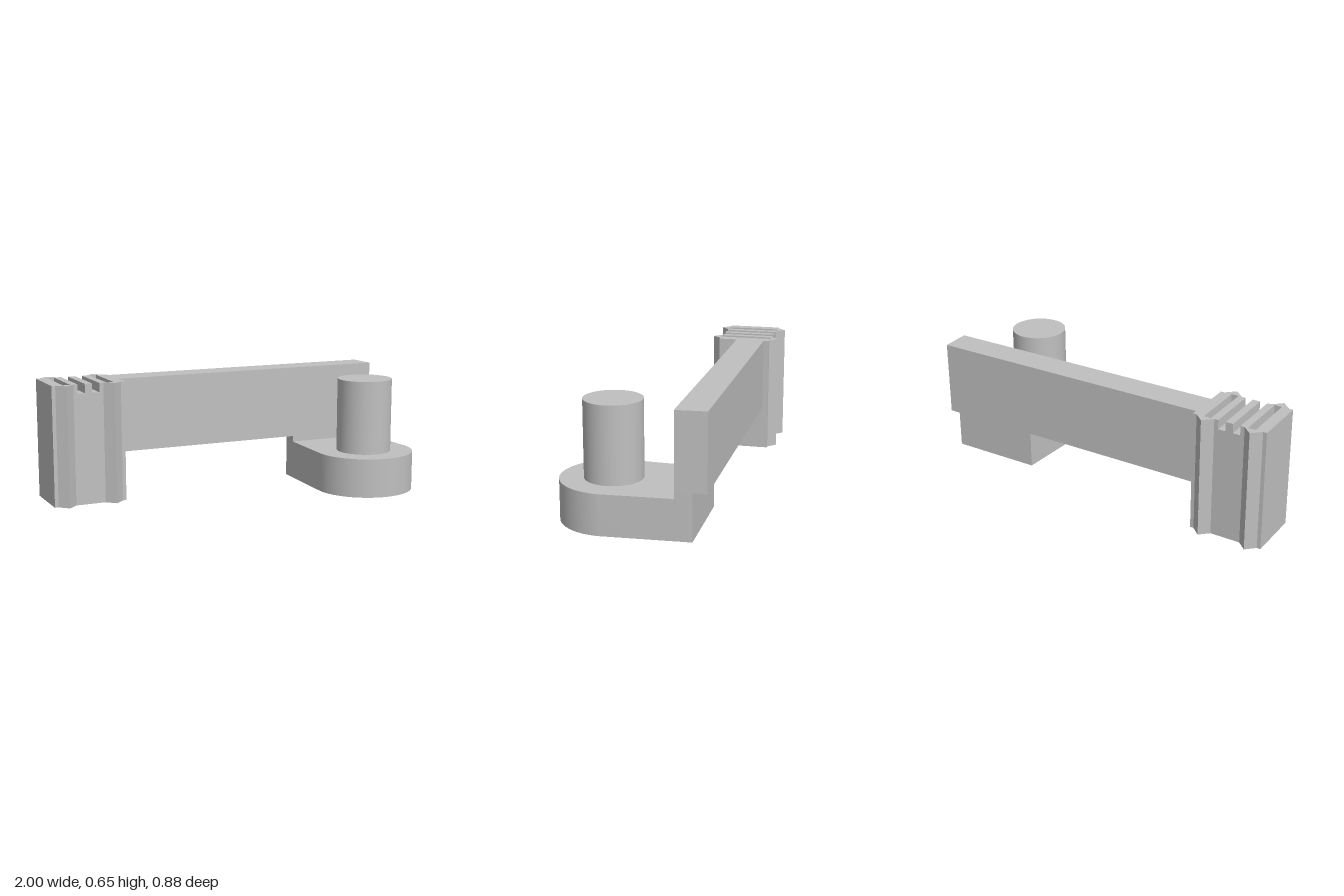
import * as THREE from 'three';
import { toCreasedNormals } from 'three/addons/utils/BufferGeometryUtils.js';

const grey = new THREE.MeshStandardMaterial({ color: 0xc0c0c0 });
grey.name = 'plainGrey';

function addPart(group, name, geometry) {
  const mesh = new THREE.Mesh(toCreasedNormals(geometry, 0.5), grey);
  mesh.name = name;
  group.add(mesh);
  return mesh;
}

// Raise an outline drawn in plan (x, -z) from y0 to y1
function raise(shape, y0, y1) {
  return new THREE.ExtrudeGeometry(shape, { depth: y1 - y0, bevelEnabled: false, curveSegments: 48 })
    .rotateX(-Math.PI / 2).translate(0, y0, 0);
}

const plan = (points) => new THREE.Shape(points.map(([x, z]) => new THREE.Vector2(x, -z)));

export function createModel() {
  const model = new THREE.Group();
  model.name = 'bracket';
  const height = 0.65, backZ = -0.393, frontZ = -0.1;

  // Grip block: a comb profile with four slots, extruded front to back
  const comb = new THREE.Shape();
  comb.moveTo(-1, 0);
  comb.lineTo(-0.6, 0);
  comb.lineTo(-0.6, height);
  for (const x of [-0.68, -0.76, -0.84, -0.92]) {
    comb.lineTo(x + 0.02, height);
    comb.lineTo(x + 0.02, 0.6);
    comb.lineTo(x - 0.02, 0.6);
    comb.lineTo(x - 0.02, height);
  }
  comb.lineTo(-1, height);
  addPart(model, 'gripBlock',
    new THREE.ExtrudeGeometry(comb, { depth: frontZ - backZ, bevelEnabled: false }).translate(0, 0, backZ));

  // Upright V ridges on both faces of the block
  for (const x of [-0.931, -0.669]) {
    for (const [z, dir, side] of [[frontZ, 1, 'front'], [backZ, -1, 'back']]) {
      const ridge = plan([[x - 0.049, z], [x + 0.049, z], [x, z + dir * 0.046]]);
      addPart(model, side + 'Ridge', raise(ridge, 0, height));
    }
  }

  // Long arm, its free end following the taper of the foot
  addPart(model, 'arm', raise(
    plan([[-0.6, -0.363], [0.973, -0.363], [0.981, -0.203], [-0.6, -0.203]]), 0.247, height));

  // Foot with a rounded front
  const cx = 0.726, cz = 0.164, r = 0.274;
  const foot = new THREE.Shape();
  foot.moveTo(cx - 0.251, 0.292);
  foot.lineTo(cx + 0.251, 0.292);
  foot.lineTo(cx + r, -cz);
  foot.absarc(cx, -cz, r, 0, -Math.PI, true);
  addPart(model, 'foot', raise(foot, 0, 0.214));

  // Step joining the foot to the underside of the arm
  addPart(model, 'footStep', raise(
    plan([[cx - 0.251, -0.292], [cx + 0.251, -0.292], [cx + 0.255, -0.203], [cx - 0.255, -0.203]]), 0.214, 0.247));

  // Upright pin
  addPart(model, 'pin', new THREE.CylinderGeometry(0.151, 0.151, 0.406, 64))
    .position.set(cx, 0.417, cz);

  return model;
}
